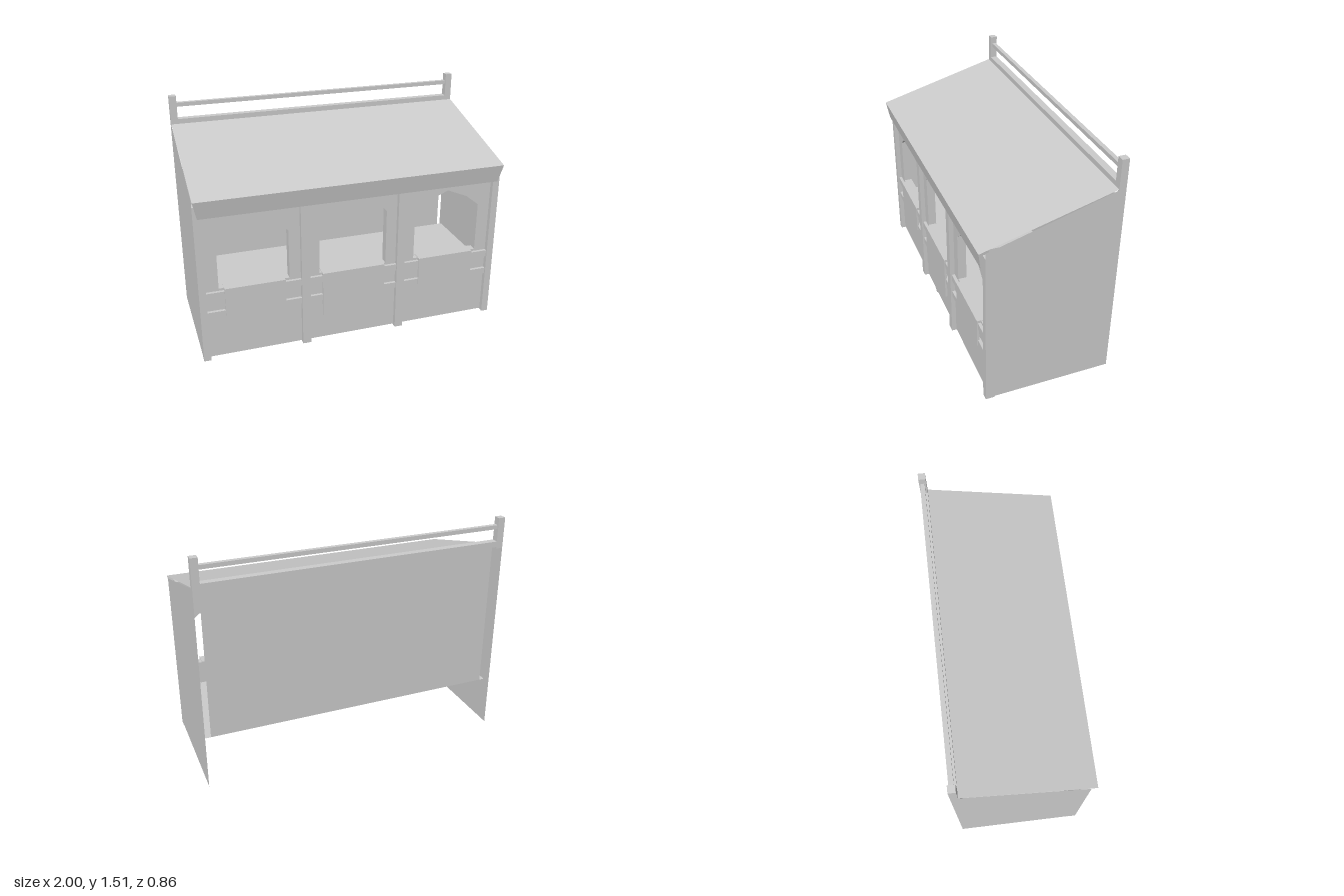
import * as THREE from 'three';

export function createModel() {
  const group = new THREE.Group();
  const mat = new THREE.MeshStandardMaterial({ color: 0xcccccc, flatShading: true, side: THREE.DoubleSide });

  const add = (name, geo) => {
    const mesh = new THREE.Mesh(geo, mat);
    mesh.name = name;
    group.add(mesh);
    return mesh;
  };
  // Box given by its extents on each axis
  const box = (name, x0, x1, y0, y1, z0, z1) => {
    const g = new THREE.BoxGeometry(x1 - x0, y1 - y0, z1 - z0);
    g.translate((x0 + x1) / 2, (y0 + y1) / 2, (z0 + z1) / 2);
    return add(name, g);
  };
  // Flat four-cornered sheet
  const sheet = (name, a, b, c, d) => {
    const g = new THREE.BufferGeometry();
    g.setAttribute('position', new THREE.Float32BufferAttribute([...a, ...b, ...c, ...d], 3));
    g.setIndex([0, 1, 2, 0, 2, 3]);
    g.computeVertexNormals();
    return add(name, g);
  };
  const outline = (pts) => pts.map(([x, y]) => new THREE.Vector2(x, y));
  const extrude = (name, shape, z0, z1) => {
    const g = new THREE.ExtrudeGeometry(shape, { depth: z1 - z0, bevelEnabled: false });
    g.translate(0, 0, z0);
    return add(name, g);
  };

  // Three bays: centre, opening half width, spring and shoulder heights, apex, cloth sizes
  const bays = [-0.648, 0, 0.648].map((x) => x === 0
    ? { x, w: 0.225, spring: 0.86, shoulder: 0.955, apex: 1.01, cw: 0.21, hem: 0.185, tip: 0.065 }
    : { x, w: 0.225, spring: 0.82, shoulder: 0.89, apex: 0.948, cw: 0.193, hem: 0.3, tip: 0.22 });

  // Upper front wall with arched openings
  const front = new THREE.Shape(outline([[-0.97, 0.33], [0.97, 0.33], [0.97, 1.1], [-0.97, 1.1]]));
  for (const b of bays) {
    front.holes.push(new THREE.Path(outline([
      [b.x - b.w, 0.49], [b.x - b.w, b.spring], [b.x - 0.137, b.shoulder], [b.x, b.apex],
      [b.x + 0.137, b.shoulder], [b.x + b.w, b.spring], [b.x + b.w, 0.49],
    ])));
  }
  extrude('frontWall', front, 0.305, 0.36);
  box('lowerFrontWall', -0.99, 0.99, 0.008, 0.34, 0.35, 0.36);

  // Front posts and the rails crossing between them
  for (const [a, b] of [[-1, -0.955], [-0.35, -0.295], [0.295, 0.35], [0.955, 1]]) {
    box('frontPost', a, b, 0, 1.06, 0.335, 0.39);
  }
  for (const [a, b] of [[0.3, 0.34], [0.43, 0.475]]) box('frontRail', -0.97, 0.97, a, b, 0.335, 0.38);

  // Pointed cloths hanging from the sills
  for (const b of bays) {
    extrude('hangingCloth', new THREE.Shape(outline([
      [b.x - b.cw, 0.493], [b.x - b.cw, b.hem], [b.x, b.tip], [b.x + b.cw, b.hem], [b.x + b.cw, 0.493],
    ])), 0.372, 0.386);
    box('sillCloth', b.x - b.cw, b.x + b.cw, 0.475, 0.493, 0.305, 0.386);
  }

  // Side walls, floor and back wall
  for (const s of [-1, 1]) {
    const shape = new THREE.Shape(outline([[-0.39, 0.008], [0.43, 0.008], [0.43, 1.325], [0.385, 1.325], [-0.39, 1.1]]));
    const g = new THREE.ShapeGeometry(shape);
    g.rotateY(Math.PI / 2);
    g.translate(s, 0, 0);
    add('sideWall', g);
  }
  sheet('floor', [-0.99, 0.334, 0.35], [0.99, 0.334, 0.35], [0.99, 0.334, -0.385], [-0.99, 0.334, -0.385]);
  sheet('backWall', [0.955, 0.334, -0.385], [-0.955, 0.334, -0.385], [-0.955, 1.33, -0.385], [0.955, 1.33, -0.385]);

  // Sloping roof and its front valance
  sheet('roof', [-1, 1.105, 0.43], [1, 1.105, 0.43], [1, 1.33, -0.385], [-1, 1.33, -0.385]);
  sheet('valance', [-0.975, 0.99, 0.41], [0.975, 0.99, 0.41], [1, 1.105, 0.43], [-1, 1.105, 0.43]);

  // Rear railing above the roof
  for (const s of [-1, 1]) {
    box('railingPost', s < 0 ? -1 : 0.955, s < 0 ? -0.955 : 1, 1.315, 1.515, -0.43, -0.385);
  }
  box('lowerRailing', -0.955, 0.955, 1.325, 1.362, -0.43, -0.385);
  box('upperRailing', -0.955, 0.955, 1.442, 1.468, -0.422, -0.395);

  return group;
}
